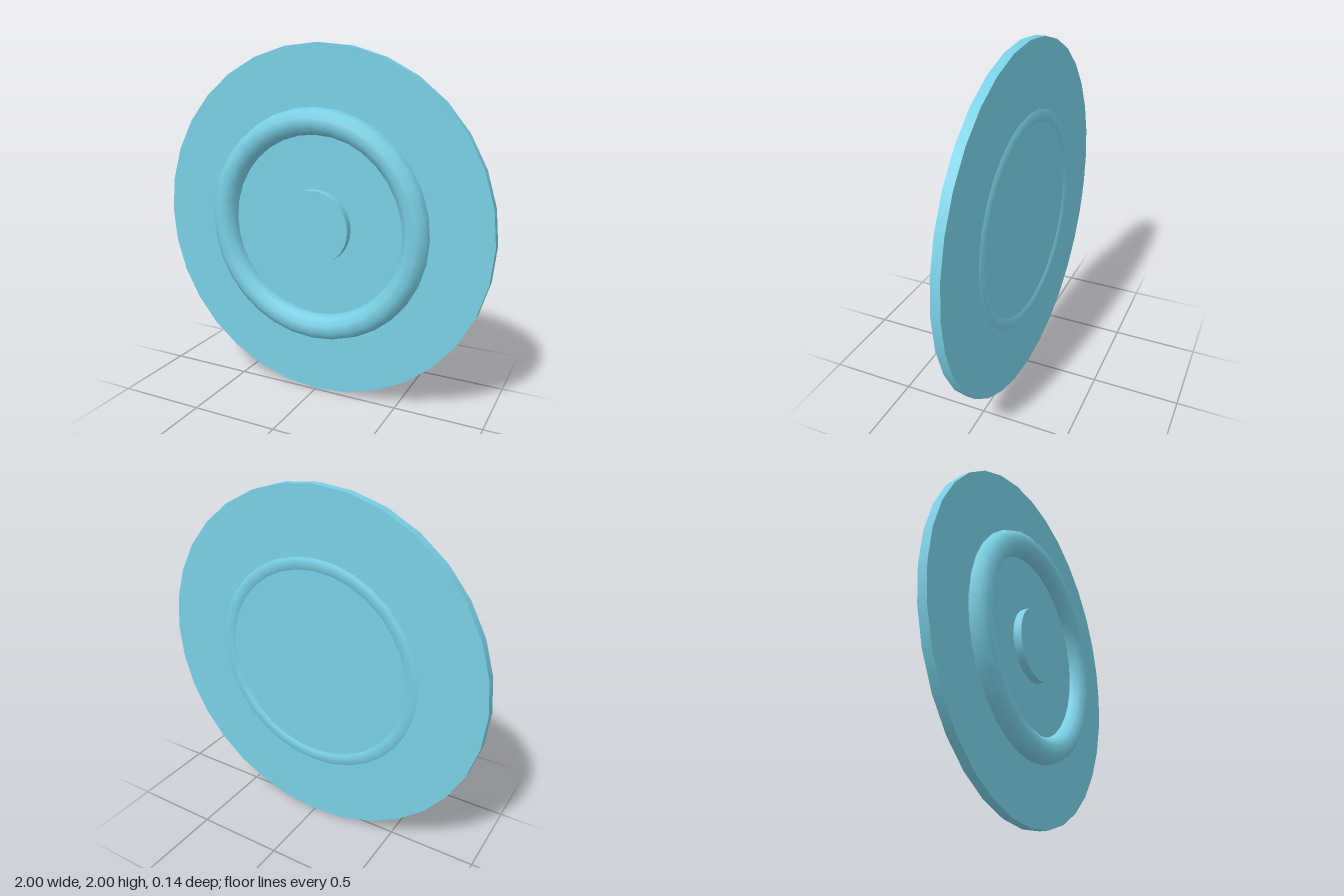
import * as THREE from 'three';

const SIDES = 32;

export function createModel() {
  const model = new THREE.Group();
  const paleBlue = new THREE.MeshStandardMaterial({ color: 0x78cfe5 });
  paleBlue.name = 'pale blue';

  function add(name, geometry, z) {
    const mesh = new THREE.Mesh(geometry, paleBlue);
    mesh.name = name;
    mesh.position.set(0, 1, z);
    model.add(mesh);
  }

  // Round slab facing +z, spanning zBack to zFront
  function addDisc(name, radius, zBack, zFront) {
    const geometry = new THREE.CylinderGeometry(radius, radius, zFront - zBack, SIDES);
    geometry.rotateX(Math.PI / 2);
    add(name, geometry, (zBack + zFront) / 2);
  }

  // Wide plate, raised hub and the ring that pokes through both faces
  addDisc('plate', 1, -0.063, -0.012);
  addDisc('hub', 0.212, -0.03, 0.036);
  add('ring', new THREE.TorusGeometry(0.59, 0.075, 10, SIDES), 0);

  return model;
}
